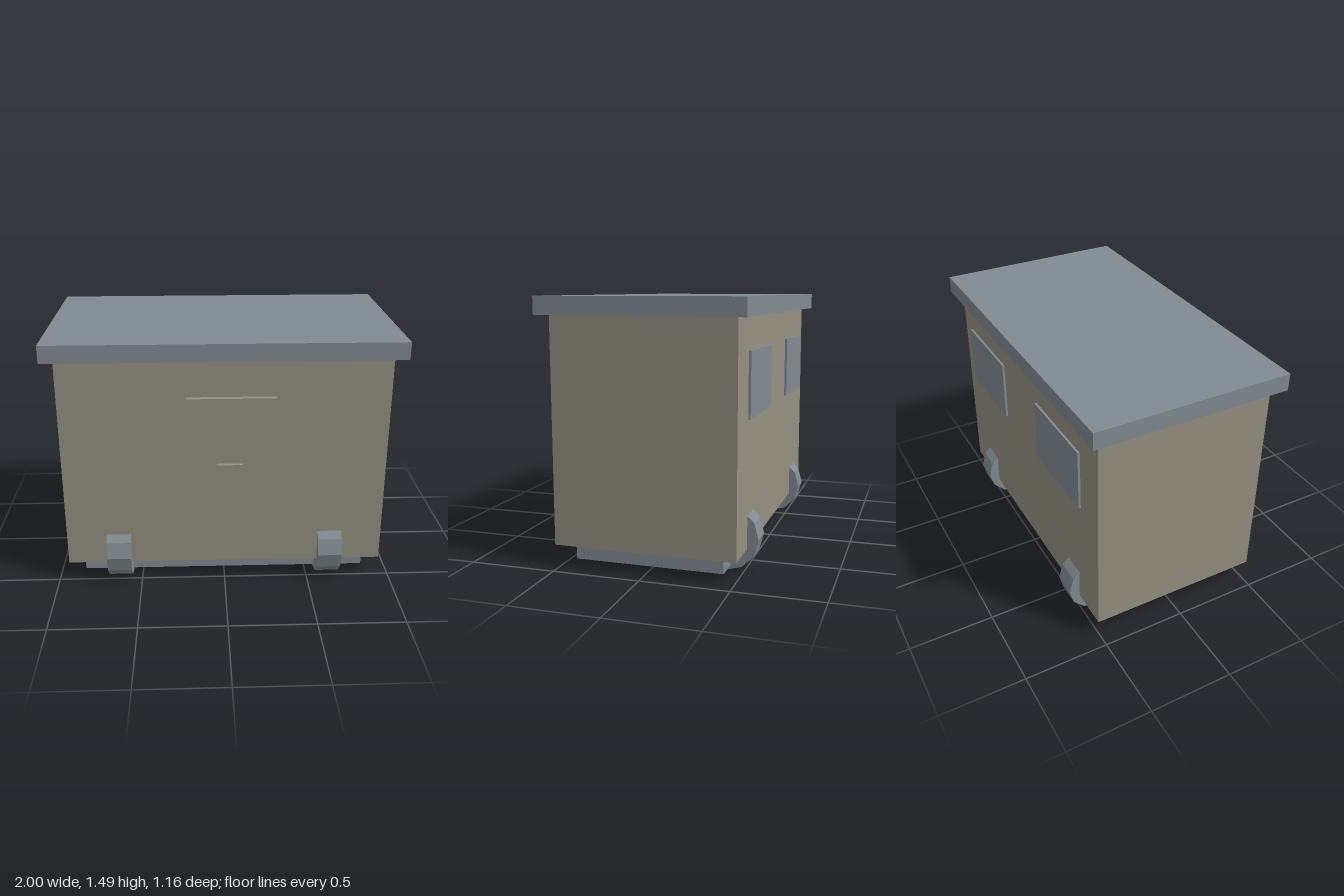
import * as THREE from 'three';

const wallMat = new THREE.MeshStandardMaterial({ name: 'wall beige', color: 0x949081 });
const greyMat = new THREE.MeshStandardMaterial({ name: 'slate grey', color: 0x828b92 });

export function createModel() {
  const group = new THREE.Group();

  // Box given by its extents on each axis
  const box = (name, mat, [x0, x1], [y0, y1], [z0, z1]) => {
    const mesh = new THREE.Mesh(new THREE.BoxGeometry(x1 - x0, y1 - y0, z1 - z0), mat);
    mesh.name = name;
    mesh.position.set((x0 + x1) / 2, (y0 + y1) / 2, (z0 + z1) / 2);
    group.add(mesh);
  };

  // Cabin shell
  box('chassis', greyMat, [-0.848, 0.848], [0.033, 0.132], [-0.425, 0.428]);
  box('cabin', wallMat, [-0.933, 0.933], [0.132, 1.397], [-0.516, 0.518]);
  box('roof', greyMat, [-1, 1], [1.397, 1.497], [-0.576, 0.576]);

  // Door, set slightly off the front wall, with its handle
  box('door', wallMat, [-0.219, 0.288], [0.314, 1.18], [0.526, 0.558]);
  box('doorHandle', wallMat, [-0.05, 0.102], [0.737, 0.789], [0.558, 0.581]);

  // Windows on the back
  for (const s of [-1, 1]) {
    box(s > 0 ? 'leftWindow' : 'rightWindow', greyMat,
      [s * 0.5 - 0.265, s * 0.5 + 0.265], [0.858, 1.219], [-0.544, -0.531]);
  }

  // Four twelve-sided wheels, partly sunk into the cabin
  const wheelGeo = new THREE.CylinderGeometry(0.185, 0.185, 0.142, 12).rotateZ(Math.PI / 2);
  const wheelMat = greyMat.clone();
  wheelMat.name = 'wheel grey';
  wheelMat.flatShading = true;
  for (const x of [-0.628, 0.626]) {
    for (const z of [-0.395, 0.396]) {
      const wheel = new THREE.Mesh(wheelGeo, wheelMat);
      wheel.name = (z > 0 ? 'front' : 'back') + (x > 0 ? 'Left' : 'Right') + 'Wheel';
      wheel.position.set(x, 0.188, z);
      group.add(wheel);
    }
  }
  return group;
}
